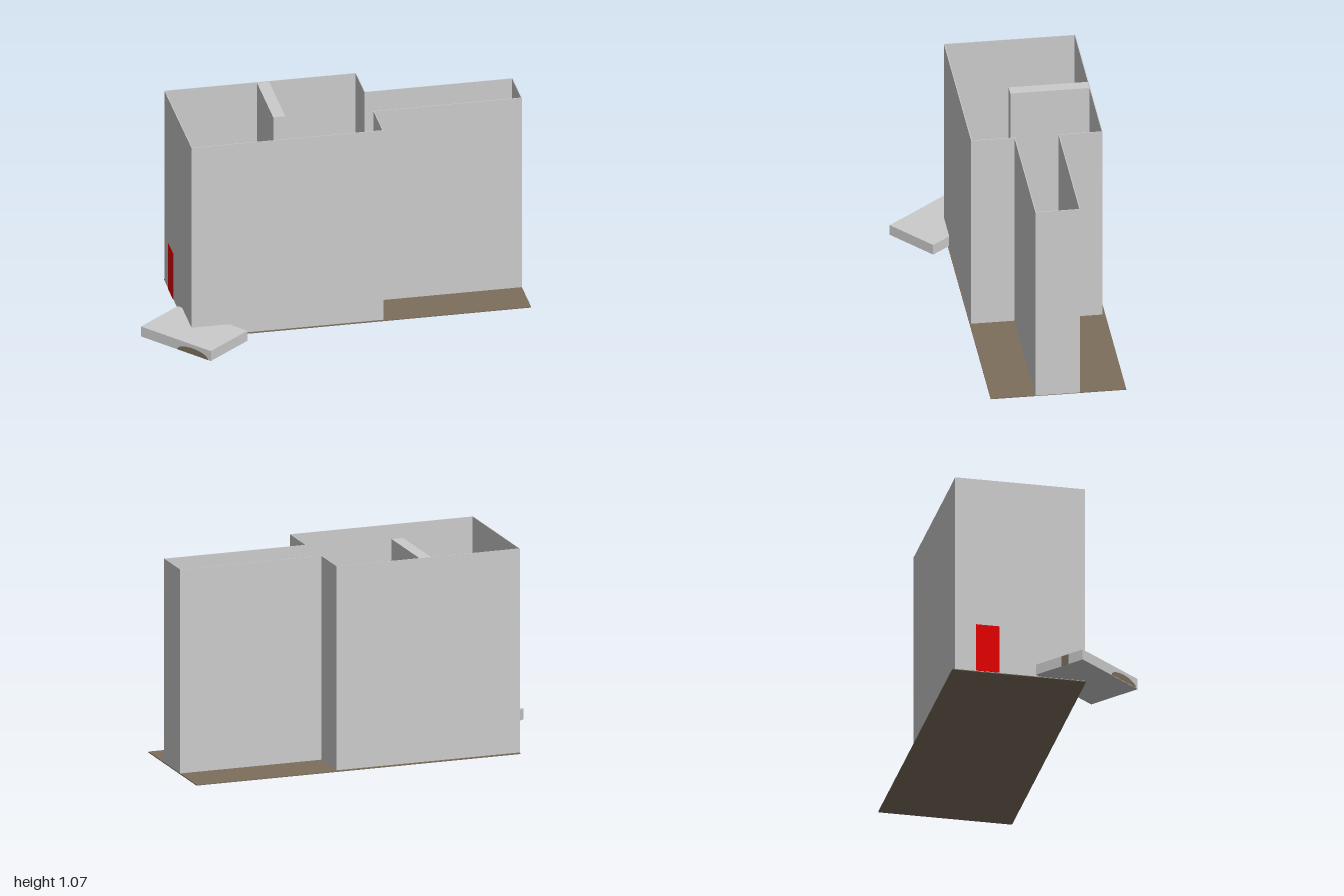
import * as THREE from 'three';

const wallGrey = new THREE.MeshStandardMaterial({ color: 0xcbcbcb });
const floorBrown = new THREE.MeshStandardMaterial({ color: 0x7c6e5c });
const doorRed = new THREE.MeshStandardMaterial({ color: 0xe00000 });
const pictureDark = new THREE.MeshStandardMaterial({ color: 0x4a4038 });

// Box given by its minimum and maximum corners
function block(parent, name, material, [x0, y0, z0], [x1, y1, z1]) {
  const mesh = new THREE.Mesh(new THREE.BoxGeometry(x1 - x0, y1 - y0, z1 - z0), material);
  mesh.position.set((x0 + x1) / 2, (y0 + y1) / 2, (z0 + z1) / 2);
  mesh.name = name;
  parent.add(mesh);
  return mesh;
}

export function createModel() {
  const model = new THREE.Group();
  model.name = 'house';

  block(model, 'floor', floorBrown, [-0.75, 0, -0.487], [1, 0.005, 0.205]);

  // Outer walls: a main room with a narrower hall on its left side
  const t = 0.004;
  const outline = [
    [-0.75, 0.196], [0.236, 0.196], [0.236, -0.025], [0.998, -0.025],
    [0.998, -0.25], [0.236, -0.25], [0.236, -0.471], [-0.75, -0.471],
  ];
  const walls = new THREE.Group();
  walls.name = 'outerWalls';
  model.add(walls);
  outline.forEach(([x0, z0], i) => {
    const [x1, z1] = outline[(i + 1) % outline.length];
    block(walls, 'wall', wallGrey,
      [Math.min(x0, x1) - t / 2, 0.003, Math.min(z0, z1) - t / 2],
      [Math.max(x0, x1) + t / 2, 1.072, Math.max(z0, z1) + t / 2]);
  });

  block(model, 'partitionWall', wallGrey, [-0.275, 0.005, -0.47], [-0.212, 1.07, -0.065]);
  block(model, 'door', doorRed, [-0.755, 0.005, -0.365], [-0.746, 0.262, -0.245]);

  // Thin framed panels on the inner faces: [x0, x1, z0, z1]
  const panels = [
    [-0.56, -0.47, -0.469, -0.465], [-0.279, -0.275, -0.33, -0.18], [-0.212, -0.208, -0.29, -0.17],
    [0.23, 0.234, -0.4, -0.33], [0.23, 0.234, -0.01, 0.15], [-0.44, -0.31, 0.189, 0.194],
    [-0.19, -0.1, 0.189, 0.194], [0.03, 0.11, 0.189, 0.194], [0.992, 0.996, -0.21, -0.06],
  ];
  for (const [x0, x1, z0, z1] of panels)
    block(model, 'wallPanel', pictureDark, [x0, 0.12, z0], [x1, 0.23, z1]);

  // Washstand with a round basin rim and tap
  block(model, 'washstand', wallGrey, [-0.09, 0.005, -0.469], [0.047, 0.12, -0.39]);
  const rim = new THREE.Mesh(new THREE.TorusGeometry(0.02, 0.002, 6, 24), wallGrey);
  rim.name = 'basinRim';
  rim.rotation.x = Math.PI / 2;
  rim.position.set(-0.021, 0.12, -0.425);
  model.add(rim);
  block(model, 'tap', wallGrey, [-0.024, 0.12, -0.41], [-0.018, 0.126, -0.398]);

  // Slanted slab lying across the front corner
  const corner = new THREE.Group();
  corner.name = 'cornerSlab';
  corner.position.set(-0.741, 0, 0.211);
  corner.rotation.y = Math.atan2(0.19, 0.23);
  model.add(corner);
  block(corner, 'slab', wallGrey, [-0.149, 0.004, -0.226], [0.149, 0.06, 0.226]);

  // Brown half round on the long face, small panel on the end, lump on top
  const half = new THREE.Mesh(new THREE.CircleGeometry(0.1, 20, 0, Math.PI), floorBrown);
  half.name = 'halfRoundPatch';
  half.scale.y = 0.35;
  half.rotation.y = -Math.PI / 2;
  half.position.set(-0.1505, 0.005, 0.11);
  corner.add(half);
  block(corner, 'endPatch', floorBrown, [-0.06, 0.005, -0.228], [-0.015, 0.058, -0.225]);
  for (let i = 0; i < 2; i++) {
    const lump = block(model, 'brownLump', floorBrown,
      [-0.71 + i * 0.012, 0.055, 0.112], [-0.672 + i * 0.006, 0.075 + i * 0.01, 0.148]);
    lump.rotation.y = 0.7 + i * 0.8;
  }
  return model;
}
